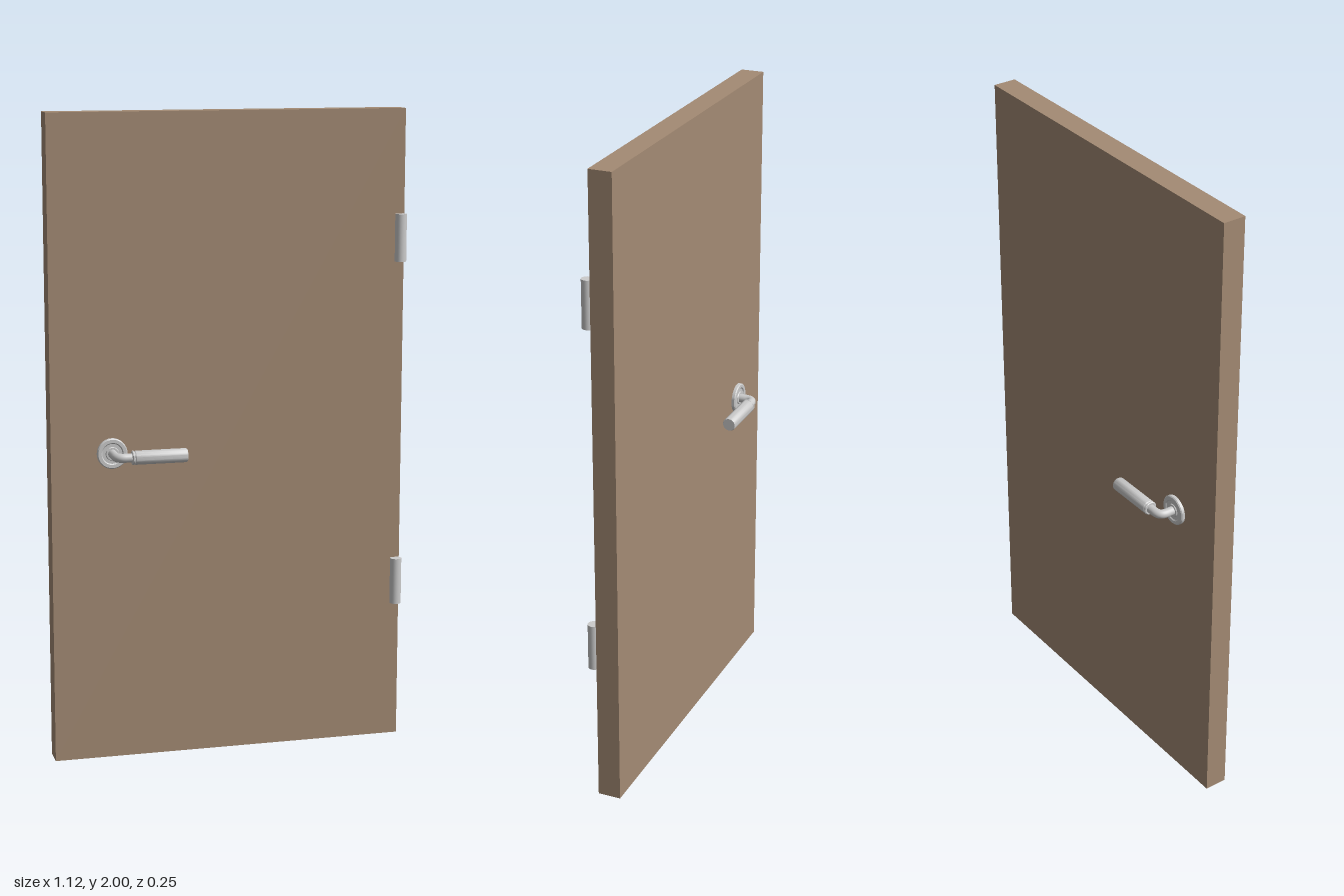
import * as THREE from 'three';
import { toCreasedNormals } from 'three/addons/utils/BufferGeometryUtils.js';

const wood = new THREE.MeshStandardMaterial({ color: 0xa48b74 });
const metal = new THREE.MeshStandardMaterial({ color: 0xcccccc });

const HANDLE_X = -0.372, HANDLE_Y = 0.97;
const FRONT = 0.022, BACK = -0.05;

function add(parent, name, geometry, material, x = 0, y = 0, z = 0) {
  const mesh = new THREE.Mesh(geometry, material);
  mesh.name = name;
  mesh.position.set(x, y, z);
  parent.add(mesh);
  return mesh;
}

// Turned part with crisp edges, from [radius, height] pairs
function turned(profile, sides = 32) {
  const points = profile.map(([r, h]) => new THREE.Vector2(r, h));
  return toCreasedNormals(new THREE.LatheGeometry(points, sides), 0.6);
}

// Lever handle on one face; side is +1 for front, -1 for back
function createHandle(name, side, faceZ, leverZ, endX) {
  const handle = new THREE.Group();
  handle.name = name;

  // Round plate with a raised rim and an inner collar
  const rose = add(handle, 'rose', turned([
    [0, 0], [0.047, 0], [0.047, 0.009], [0.044, 0.012], [0.034, 0.012],
    [0.031, 0.009], [0.021, 0.009], [0.019, 0.012], [0, 0.012],
  ]), metal, HANDLE_X, HANDLE_Y, faceZ);
  rose.rotation.x = side * Math.PI / 2;

  // Stem that leaves the door and bends toward the grip
  const bend = 0.026;
  const v = (x, z) => new THREE.Vector3(x, HANDLE_Y, z);
  const path = new THREE.CurvePath();
  path.add(new THREE.LineCurve3(v(HANDLE_X, faceZ), v(HANDLE_X, leverZ - side * bend)));
  path.add(new THREE.QuadraticBezierCurve3(
    v(HANDLE_X, leverZ - side * bend), v(HANDLE_X, leverZ), v(HANDLE_X + bend, leverZ)));
  path.add(new THREE.LineCurve3(v(HANDLE_X + bend, leverZ), v(-0.31, leverZ)));
  add(handle, 'stem', new THREE.TubeGeometry(path, 40, 0.0138, 20), metal);

  // Grip with a collar at its root and a softened end
  const length = endX + 0.327;
  const grip = add(handle, 'grip', turned([
    [0, 0], [0.019, 0], [0.0215, 0.002], [0.0215, 0.006], [0.0195, 0.008],
    [0.0215, 0.011], [0.0215, length - 0.004], [0.0195, length], [0, length],
  ], 28), metal, -0.327, HANDLE_Y, leverZ);
  grip.rotation.z = -Math.PI / 2;
  return handle;
}

export function createModel() {
  const door = new THREE.Group();
  door.name = 'door';

  // Door leaf
  add(door, 'leaf', new THREE.BoxGeometry(1.115, 2, FRONT - BACK), wood,
    -0.0025, 1, (FRONT + BACK) / 2);

  // Hinge barrels
  [['lowerHinge', 0.512], ['upperHinge', 1.605]].forEach(([name, y]) =>
    add(door, name, new THREE.CylinderGeometry(0.018, 0.018, 0.147, 28), metal, 0.54, y, 0.036));

  // Handles on both faces
  door.add(createHandle('frontHandle', 1, FRONT, 0.104, -0.156));
  door.add(createHandle('backHandle', -1, BACK, -0.108, -0.161));
  return door;
}
